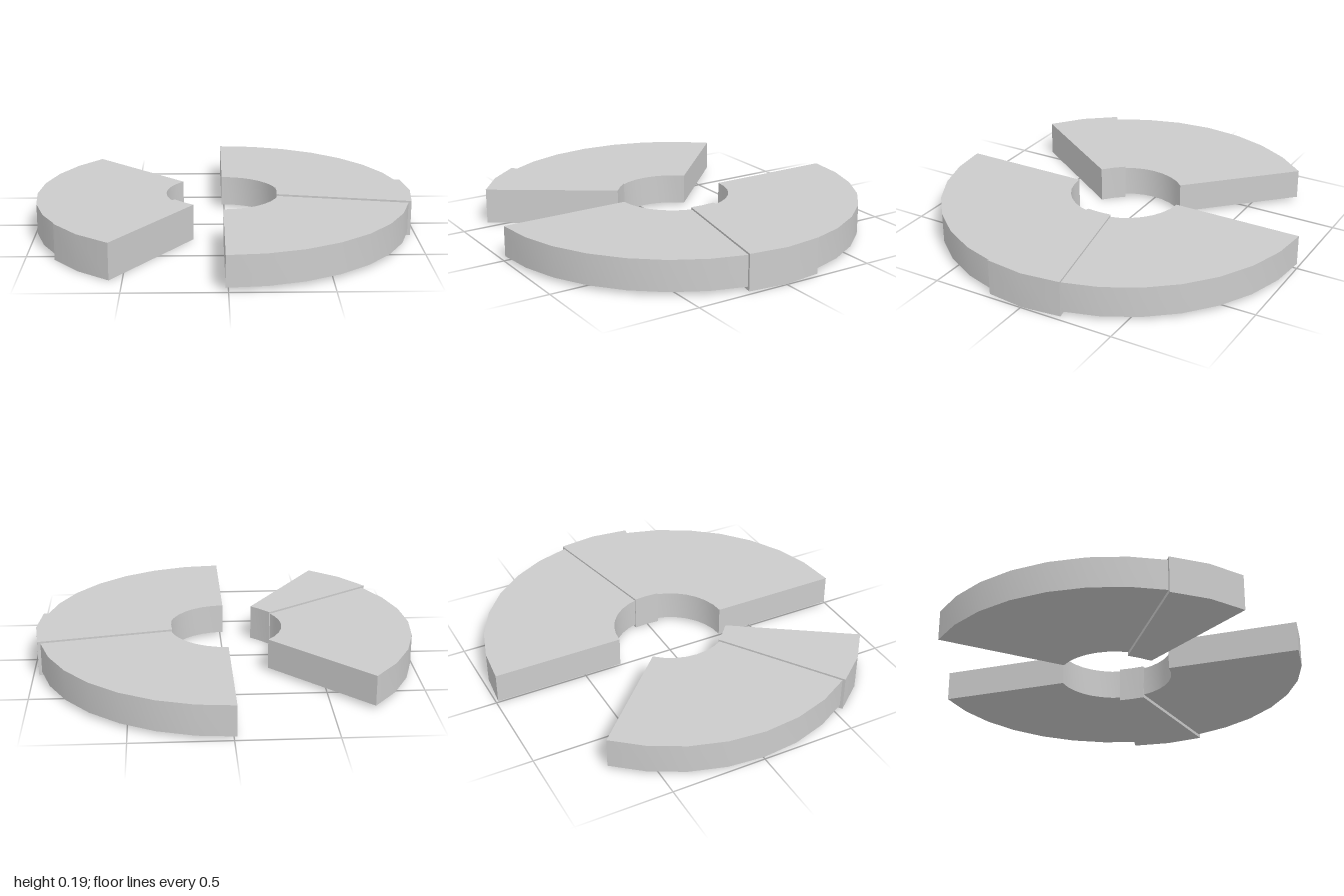
import * as THREE from 'three';
import { toCreasedNormals } from 'three/addons/utils/BufferGeometryUtils.js';

const material = new THREE.MeshStandardMaterial({ color: 0xcccccc });
const CENTER = [-0.013, -0.004];

// Upright slab from a plan outline of [x, -z] points, between two heights
function slab(name, points, y0, y1, angle) {
  const shape = new THREE.Shape(points.map(([x, y]) => new THREE.Vector2(x, y)));
  const extruded = new THREE.ExtrudeGeometry(shape, { depth: y1 - y0, bevelEnabled: false });
  extruded.rotateX(-Math.PI / 2);
  const mesh = new THREE.Mesh(toCreasedNormals(extruded, 0.6), material);
  mesh.name = name;
  mesh.position.set(CENTER[0], y0, CENTER[1]);
  mesh.rotation.y = THREE.MathUtils.degToRad(angle);
  return mesh;
}

// Quarter ring outline, centred on +x, in eight straight steps
function quarterOutline(inner, outer, steps = 8) {
  const arc = (r) => Array.from({ length: steps + 1 }, (_, i) => {
    const a = -Math.PI / 4 + (i / steps) * Math.PI / 2;
    return [r * Math.cos(a), r * Math.sin(a)];
  });
  return [...arc(outer), ...arc(inner).reverse()];
}

export function createModel() {
  const group = new THREE.Group();
  group.name = 'splitRing';

  // Three quarter segments of the ring
  const quarter = quarterOutline(0.3, 0.99);
  [['backLeftSegment', 45], ['frontLeftSegment', -45], ['rightSegment', 180]].forEach(([name, angle]) =>
    group.add(slab(name, quarter, 0.018, 0.178, angle)));

  // Slightly thicker joint wedges covering the segment ends
  const wedge = [
    [0.984, -0.204], [1.008, 0], [0.984, 0.204],
    [0.286, 0.068], [0.29, 0], [0.286, -0.068],
  ];
  [['leftJointWedge', 0], ['rightJointWedge', 225]].forEach(([name, angle]) =>
    group.add(slab(name, wedge, 0, 0.188, angle)));

  return group;
}
